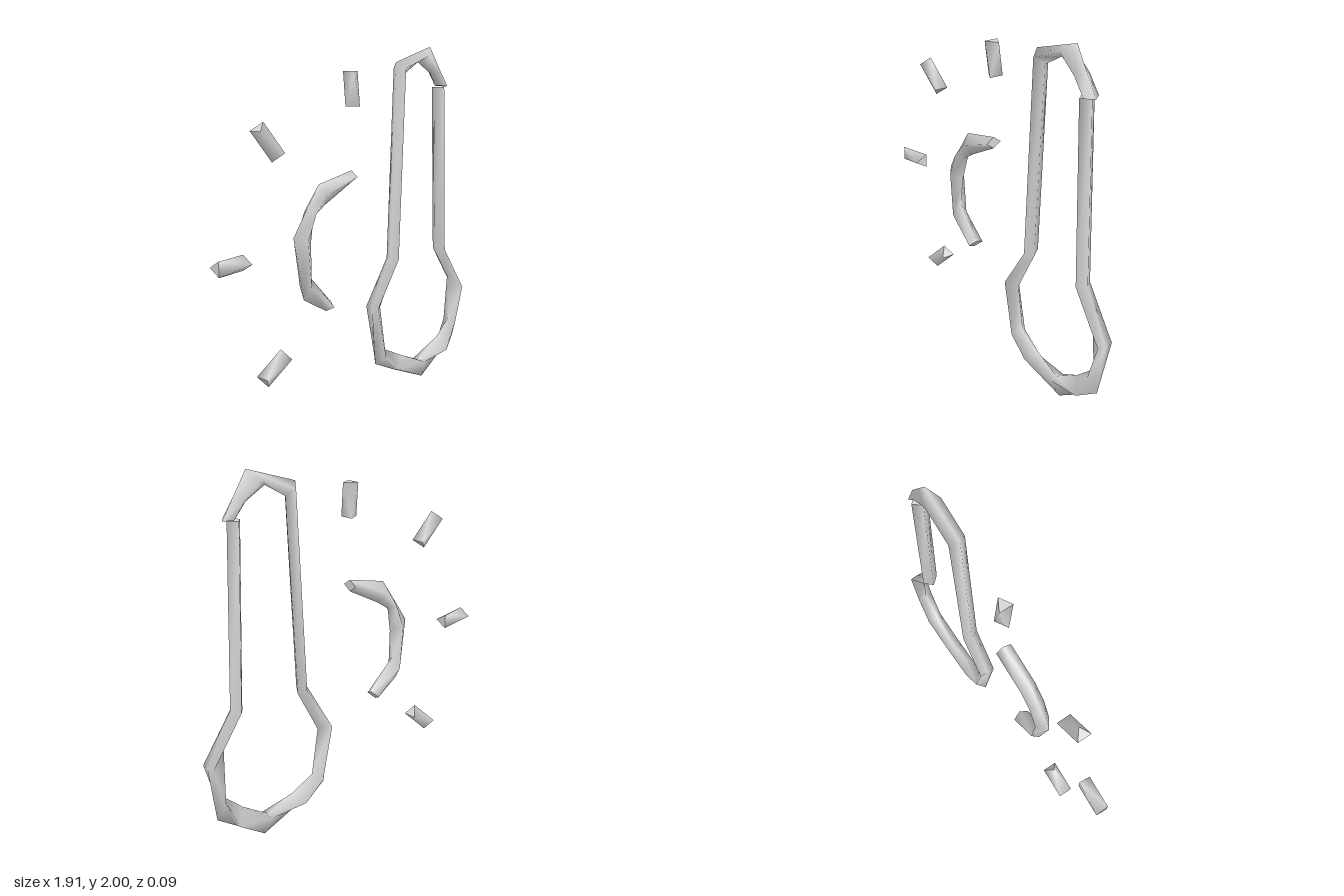
import * as THREE from 'three';

const grey = new THREE.MeshStandardMaterial({ color: 0xd8d8d8, side: THREE.DoubleSide });
grey.name = 'lightGrey';

// Smooth skin over a row of rings, with flat caps at both ends
function tube(name, rings) {
  const n = rings[0].length, pos = [], idx = [];
  for (const ring of rings) for (const p of ring) pos.push(...p);
  for (let s = 0; s < rings.length - 1; s++) {
    for (let i = 0; i < n; i++) {
      const j = (i + 1) % n, a = s * n + i, b = s * n + j;
      idx.push(a, a + n, b, b, a + n, b + n);
    }
  }
  [rings[0], [...rings[rings.length - 1]].reverse()].forEach((ring) => {
    const base = pos.length / 3;
    for (const p of ring) pos.push(...p);
    for (let i = 1; i < n - 1; i++) idx.push(base, base + i, base + i + 1);
  });
  const geo = new THREE.BufferGeometry();
  geo.setAttribute('position', new THREE.Float32BufferAttribute(pos, 3));
  geo.setIndex(idx);
  geo.computeVertexNormals();
  const mesh = new THREE.Mesh(geo, grey);
  mesh.name = name;
  return mesh;
}

// Band with four ridges: [outerX, outerY, innerX, innerY, share],
// where share places the front and back ridges between outer (0) and inner (1)
function band(name, stations, depth = 0.047) {
  return tube(name, stations.map(([ox, oy, ix, iy, share = 0.5]) => {
    const mx = ox + (ix - ox) * share, my = oy + (iy - oy) * share;
    return [[ox, oy, 0], [mx, my, depth], [ix, iy, 0], [mx, my, -depth]];
  }));
}

// Three-sided bar whose far end is turned by 60 degrees
function ray(name, [x0, y0], [x1, y1], apex, r = 0.047) {
  const len = Math.hypot(x1 - x0, y1 - y0);
  const nx = (y1 - y0) / len, ny = -(x1 - x0) / len;
  const ring = (x, y, turn) => [0, 1, 2].map((k) => {
    const a = turn + (k * Math.PI * 2) / 3;
    return [x + r * Math.cos(a) * nx, y + r * Math.cos(a) * ny, r * Math.sin(a)];
  });
  return tube(name, [ring(x0, y0, apex - Math.PI / 3), ring(x1, y1, apex)]);
}

export function createModel() {
  const group = new THREE.Group();
  group.name = 'bulbAndRays';

  // Long stem with a round bulb, left open near the top
  group.add(band('bulbOutline', [
    [0.795, 1.768, 0.725, 1.775],
    [0.725, 1.88, 0.655, 1.845],
    [0.65, 2.0, 0.54, 1.91, 0.6],
    [0.35, 1.91, 0.415, 1.84],
    [0.305, 0.8, 0.36, 0.76],
    [0.155, 0.52, 0.225, 0.51, 0.05],
    [0.185, 0.175, 0.27, 0.245],
    [0.345, 0.105, 0.42, 0.175, 0.08],
    [0.61, 0.0, 0.58, 0.112, 0.95],
    [0.8, 0.127, 0.75, 0.22, 0.08],
    [0.91, 0.2, 0.875, 0.33, 0.8],
    [0.953, 0.51, 0.85, 0.6, 0.05],
    [0.8, 0.79, 0.725, 0.77],
    [0.77, 1.765, 0.692, 1.765],
  ]));

  // Curved arc beside the stem
  group.add(band('sunArc', [
    [-0.015, 1.325, -0.015, 1.26],
    [-0.265, 1.27, -0.22, 1.155],
    [-0.35, 1.15, -0.305, 1.1],
    [-0.45, 1.005, -0.325, 0.96],
    [-0.38, 0.66, -0.35, 0.795],
    [-0.215, 0.57, -0.18, 0.62],
  ]));

  // Rays fanning out around the arc
  group.add(ray('topRay', [-0.014, 1.672], [-0.014, 1.86], 0));
  group.add(ray('upperRay', [-0.555, 1.44], [-0.68, 1.585], 0));
  group.add(ray('middleRay', [-0.77, 0.92], [-0.96, 0.92], -Math.PI / 2));
  group.add(ray('lowerRay', [-0.52, 0.39], [-0.665, 0.28], Math.PI));
  return group;
}
